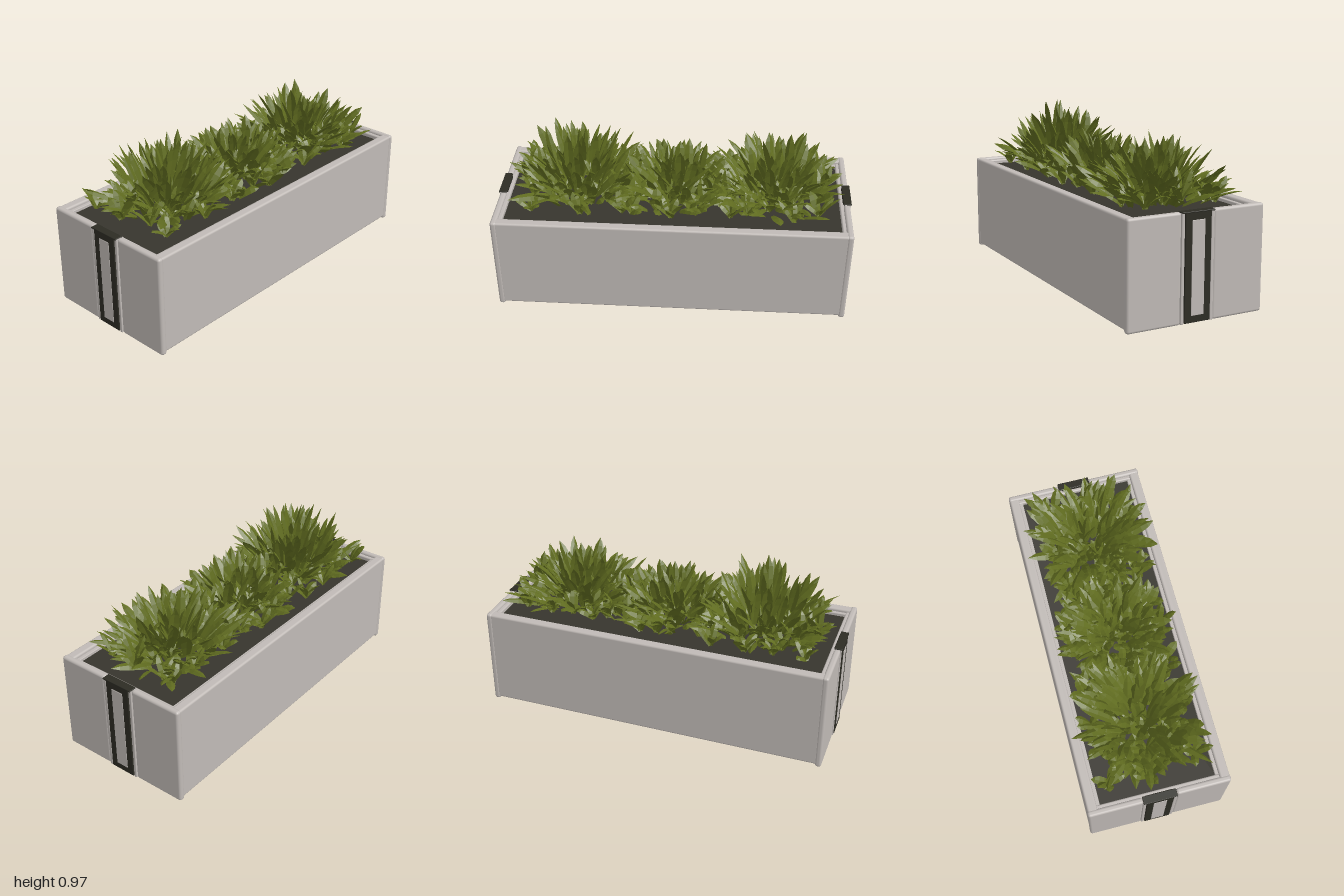
import * as THREE from 'three';
import { mergeGeometries } from 'three/addons/utils/BufferGeometryUtils.js';
import { RoundedBoxGeometry } from 'three/addons/geometries/RoundedBoxGeometry.js';

const material = (name, color, side = THREE.FrontSide) => {
  const m = new THREE.MeshStandardMaterial({ color, side });
  m.name = name;
  return m;
};

// Small seeded generator
function seeded(seed) {
  return () => {
    seed = (seed * 1664525 + 1013904223) % 4294967296;
    return seed / 4294967296;
  };
}

// A folded, pointed blade from base to tip, bowing along a quadratic curve
function bladeGeometry(base, tip, width, twist, bow) {
  const mid = base.clone().lerp(tip, 0.5);
  mid.y += bow;
  const curve = new THREE.QuadraticBezierCurve3(base, mid, tip);
  const widths = [0.5, 0.9, 1, 0.75, 0.02];
  const stops = [0, 0.3, 0.58, 0.8, 1];
  const dir = tip.clone().sub(base).normalize();
  const side = new THREE.Vector3(dir.z, 0, -dir.x);
  if (side.lengthSq() < 0.001) side.set(1, 0, 0);
  side.normalize().applyAxisAngle(dir, twist);
  const normal = dir.clone().cross(side).normalize();
  const rows = stops.map((t, i) => {
    const p = curve.getPoint(t), w = width * widths[i] / 2;
    return [
      p.clone().addScaledVector(side, -w),
      p.clone().addScaledVector(normal, w * 0.4),
      p.clone().addScaledVector(side, w),
    ];
  });
  const points = [];
  for (let i = 0; i < rows.length - 1; i++) {
    for (let j = 0; j < 2; j++) {
      const [a, b, c, d] = [rows[i][j], rows[i][j + 1], rows[i + 1][j + 1], rows[i + 1][j]];
      points.push(a, b, c, a, c, d);
    }
  }
  const g = new THREE.BufferGeometry().setFromPoints(points);
  g.computeVertexNormals();
  return g;
}

// Layered blades fanning out from a clump centre, squared off to fill the bed
function clumpGeometry({ x, rx, rz, height, count, seed }) {
  const rnd = seeded(seed), blades = [];
  for (let i = 0; i < count; i++) {
    const around = i * 2.39996 + (rnd() - 0.5) * 0.6;
    const lean = Math.pow((i + 0.5) / count, 0.55) * 1.42;
    const reach = 0.68 + rnd() * 0.36;
    const c = Math.cos(around), s = Math.sin(around);
    const square = 1 / Math.sqrt(Math.max(Math.abs(c), Math.abs(s)));
    const out = Math.sin(lean) * reach * square;
    const tip = new THREE.Vector3(
      THREE.MathUtils.clamp(x + c * out * rx, -0.96, 0.97),
      0.57 + Math.cos(lean) * height * reach,
      THREE.MathUtils.clamp(s * out * rz, -0.4, 0.39));
    const start = 0.4 + rnd() * 0.2;
    const base = new THREE.Vector3(
      x + (tip.x - x) * start, 0.53 + (tip.y - 0.55) * start * 0.6, tip.z * start);
    base.x += (rnd() - 0.5) * 0.08;
    base.z += (rnd() - 0.5) * 0.08;
    blades.push(bladeGeometry(base, tip, 0.042 + rnd() * 0.02, (rnd() - 0.5) * 1.2, 0.02));
  }
  return mergeGeometries(blades);
}

// Short tufts filling the bed between and around the clumps
function tuftsGeometry() {
  const rnd = seeded(77), blades = [];
  const columns = 17;
  for (let i = 0; i < columns * 5; i++) {
    const cx = -0.86 + 1.72 * ((i % columns) + rnd()) / columns;
    const cz = -0.27 + 0.108 * (Math.floor(i / columns) + rnd() * 0.9);
    const rise = 0.07 + 0.13 * (1 - Math.abs(cz) / 0.35);
    for (let k = 0; k < 5; k++) {
      const a = k * 1.257 + rnd(), r = 0.06 + rnd() * 0.05;
      const base = new THREE.Vector3(cx, 0.53 + rise * 0.3, cz);
      const tip = new THREE.Vector3(
        THREE.MathUtils.clamp(cx + Math.cos(a) * r, -0.95, 0.95),
        0.55 + rise * (0.6 + rnd() * 0.6), cz + Math.sin(a) * r);
      blades.push(bladeGeometry(base, tip, 0.042 + rnd() * 0.015, rnd() - 0.5, 0.025));
    }
  }
  return mergeGeometries(blades);
}

export function createModel() {
  const group = new THREE.Group();
  group.name = 'planter';
  const stone = material('pale grey', 0xc0bab6);
  const dark = material('dark trim', 0x2d2c24);
  const soilMat = material('soil', 0x37352d);
  const leaf = material('leaf green', 0x616d20, THREE.DoubleSide);

  const add = (name, geometry, mat, x, y, z) => {
    const mesh = new THREE.Mesh(geometry, mat);
    mesh.name = name;
    mesh.position.set(x, y, z);
    group.add(mesh);
  };
  const block = (name, mat, w, h, d, x, y, z, r = 0.008) =>
    add(name, new RoundedBoxGeometry(w, h, d, 2, r), mat, x, y, z);

  // Trough: long walls with an inner ledge, plus the floor
  for (const s of [-1, 1]) {
    block('longWall', stone, 1.94, 0.56, 0.055, 0, 0.295, s * 0.3695, 0.012);
    block('innerLedge', stone, 1.9, 0.53, 0.024, 0, 0.292, s * 0.335, 0.004);
  }
  block('floor', stone, 1.93, 0.05, 0.78, 0, 0.04, 0);

  // Ends: two slabs, a grey channel, and a dark strip with a pale inlay
  for (const s of [-1, 1]) {
    block('endCore', stone, 0.03, 0.545, 0.74, s * 0.95, 0.29, 0);
    for (const k of [-1, 1]) {
      block('endSlab', stone, 0.036, 0.576, 0.306, s * 0.973, 0.29, k * 0.247, 0.014);
      block('channelEdge', stone, 0.036, 0.57, 0.018, s * 0.977, 0.29, k * 0.087, 0.004);
    }
    block('darkStrip', dark, 0.045, 0.568, 0.152, s * 0.9755, 0.292, 0, 0.004);
    block('stripCap', dark, 0.045, 0.008, 0.19, s * 0.9775, 0.575, 0, 0.003);
    block('stripInlay', stone, 0.006, 0.49, 0.075, s * 0.997, 0.29, 0, 0.002);
  }

  // Soil bed
  add('soil', new THREE.BoxGeometry(1.88, 0.04, 0.655), soilMat, 0, 0.52, 0);

  // Foliage
  [
    { x: -0.54, rx: 0.42, rz: 0.39, height: 0.4, count: 170, seed: 11 },
    { x: -0.01, rx: 0.37, rz: 0.35, height: 0.3, count: 150, seed: 23 },
    { x: 0.57, rx: 0.42, rz: 0.39, height: 0.34, count: 170, seed: 37 },
  ].forEach((c) => add('leafClump', clumpGeometry(c), leaf, 0, 0, 0));
  add('lowTufts', tuftsGeometry(), leaf, 0, 0, 0);

  return group;
}
